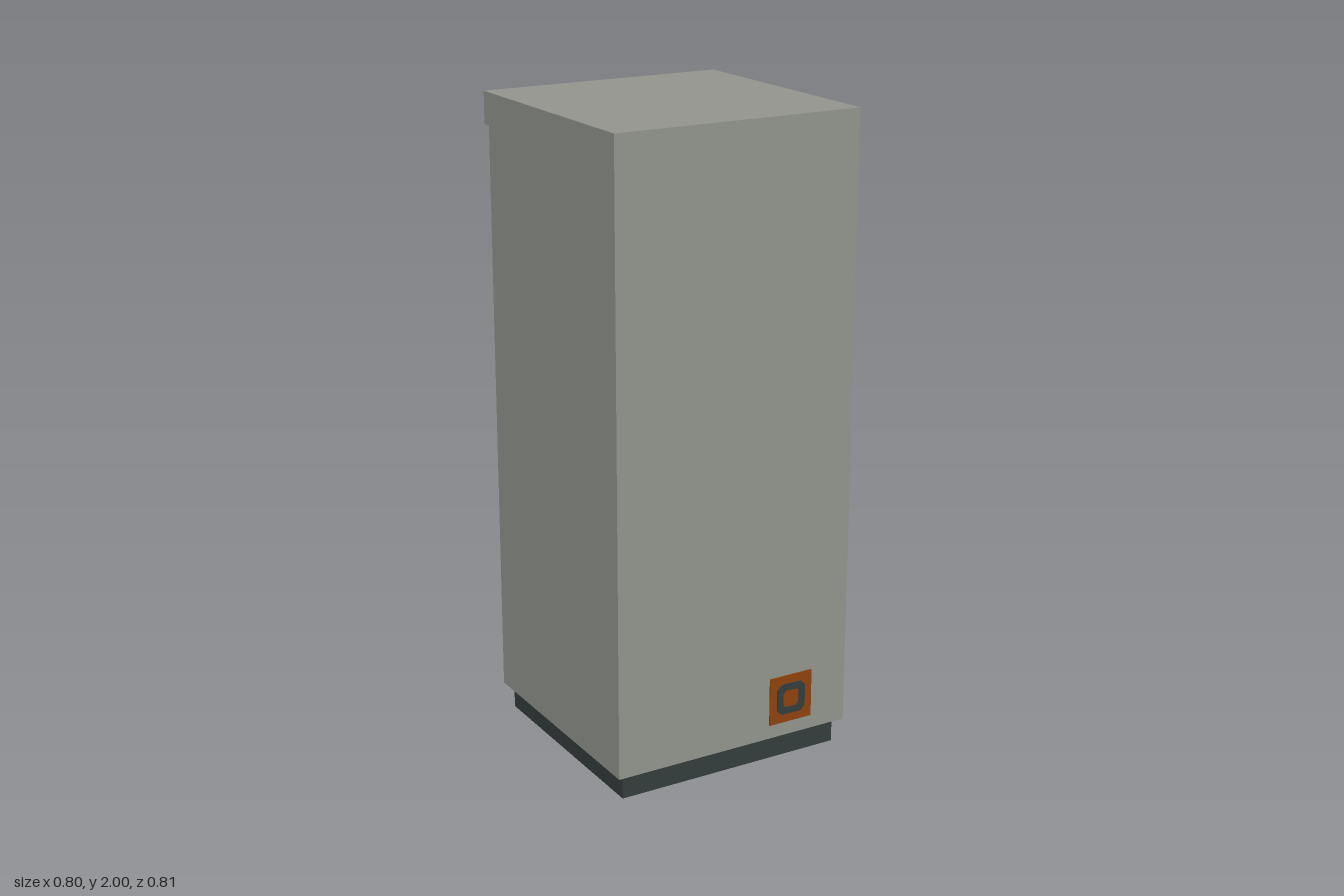
import * as THREE from 'three';

const mat = (name, color) => {
  const m = new THREE.MeshStandardMaterial({ color });
  m.name = name;
  return m;
};

export function createModel() {
  const grey = mat('cabinet grey', 0x94968f);
  const dark = mat('charcoal', 0x353d3d);
  const orange = mat('rust orange', 0x91430f);
  const root = new THREE.Group();
  root.name = 'kioskCabinet';

  const add = (name, geo, m, x = 0, y = 0, z = 0) => {
    const mesh = new THREE.Mesh(geo, m);
    mesh.name = name;
    mesh.position.set(x, y, z);
    root.add(mesh);
    return mesh;
  };
  // Box given by its limits on each axis
  const box = (name, m, x0, x1, y0, y1, z0, z1) =>
    add(name, new THREE.BoxGeometry(x1 - x0, y1 - y0, z1 - z0), m, (x0 + x1) / 2, (y0 + y1) / 2, (z0 + z1) / 2);
  // Round part whose axis runs along z
  const disc = (name, m, r, x, y, z0, z1, sides = 12) =>
    add(name, new THREE.CylinderGeometry(r, r, z1 - z0, sides).rotateX(Math.PI / 2), m, x, y, (z0 + z1) / 2);

  const trace = (path, x0, x1, y0, y1) => {
    path.moveTo(x0, y0);
    path.lineTo(x1, y0);
    path.lineTo(x1, y1);
    path.lineTo(x0, y1);
    path.closePath();
    return path;
  };
  // Full-size panel with rectangular openings
  const panel = (name, z0, z1, openings) => {
    const shape = trace(new THREE.Shape(), -0.4, 0.4, 0.08, 2);
    for (const o of openings) shape.holes.push(trace(new THREE.Path(), ...o));
    add(name, new THREE.ExtrudeGeometry(shape, { depth: z1 - z0, bevelEnabled: false }), grey, 0, 0, z0);
  };

  // Plinth, main body and top lip
  box('plinth', dark, -0.375, 0.375, 0, 0.08, -0.345, 0.375);
  box('body', grey, -0.4, 0.4, 0.08, 2, -0.3, 0.4);
  box('topLip', grey, -0.4, 0.4, 1.9, 2, -0.4, -0.37);

  // Service side: display recess, shallow door recess and tall hatch
  const display = [-0.33, 0.33, 1.3, 1.74];
  const door = [-0.325, 0.325, 0.16, 1.155];
  const hatch = [-0.13, 0.13, 0.235, 1.08];
  panel('outerPanel', -0.37, -0.358, [display, door]);
  panel('innerPanel', -0.358, -0.3, [display, hatch]);
  box('displayScreen', dark, ...display, -0.304, -0.298);
  box('hatchWindow', dark, ...hatch, -0.318, -0.298);

  // Reader standing on the display sill
  box('reader', grey, -0.09, 0.09, 1.3, 1.4, -0.337, -0.304);
  disc('readerLens', dark, 0.026, 0.012, 1.352, -0.341, -0.337, 8);
  box('readerLensFoot', dark, -0.018, 0.042, 1.326, 1.345, -0.341, -0.337);
  disc('readerLight', dark, 0.008, -0.055, 1.35, -0.341, -0.337, 6);

  // Vent strip with four drip-shaped slots
  box('ventStrip', dark, -0.13, 0.13, 1.82, 1.843, -0.373, -0.37);
  for (let i = 0; i < 4; i++) {
    disc('ventSlot', dark, 0.018, -0.112 + i * 0.075, 1.818, -0.3735, -0.37, 8);
  }

  // Control row: knob and buttons
  disc('knob', dark, 0.033, 0.003, 1.225, -0.395, -0.37, 10);
  for (const [x, m] of [[0.105, dark], [-0.055, dark], [-0.127, orange], [-0.203, orange]]) {
    disc('button', m, 0.021, x, 1.228, -0.374, -0.37, 8);
  }

  // Small slanted latch on the hatch window
  const latch = add('latch', new THREE.CapsuleGeometry(0.018, 0.035, 4, 10).scale(1, 1, 0.2), grey, -0.032, 0.712, -0.319);
  latch.rotation.z = 0.25;

  // Square badge with a chamfered ring
  box('badge', orange, 0.125, 0.275, 0.125, 0.28, 0.4, 0.404);
  const octagon = (path, r, c) => {
    path.setFromPoints([[r, c], [c, r], [-c, r], [-r, c], [-r, -c], [-c, -r], [c, -r], [r, -c]]
      .map(([x, y]) => new THREE.Vector2(x, y)));
    return path;
  };
  const ring = octagon(new THREE.Shape(), 0.05, 0.034);
  ring.holes.push(octagon(new THREE.Path(), 0.028, 0.019));
  add('badgeRing', new THREE.ExtrudeGeometry(ring, { depth: 0.003, bevelEnabled: false }), dark, 0.2, 0.203, 0.404);

  return root;
}
